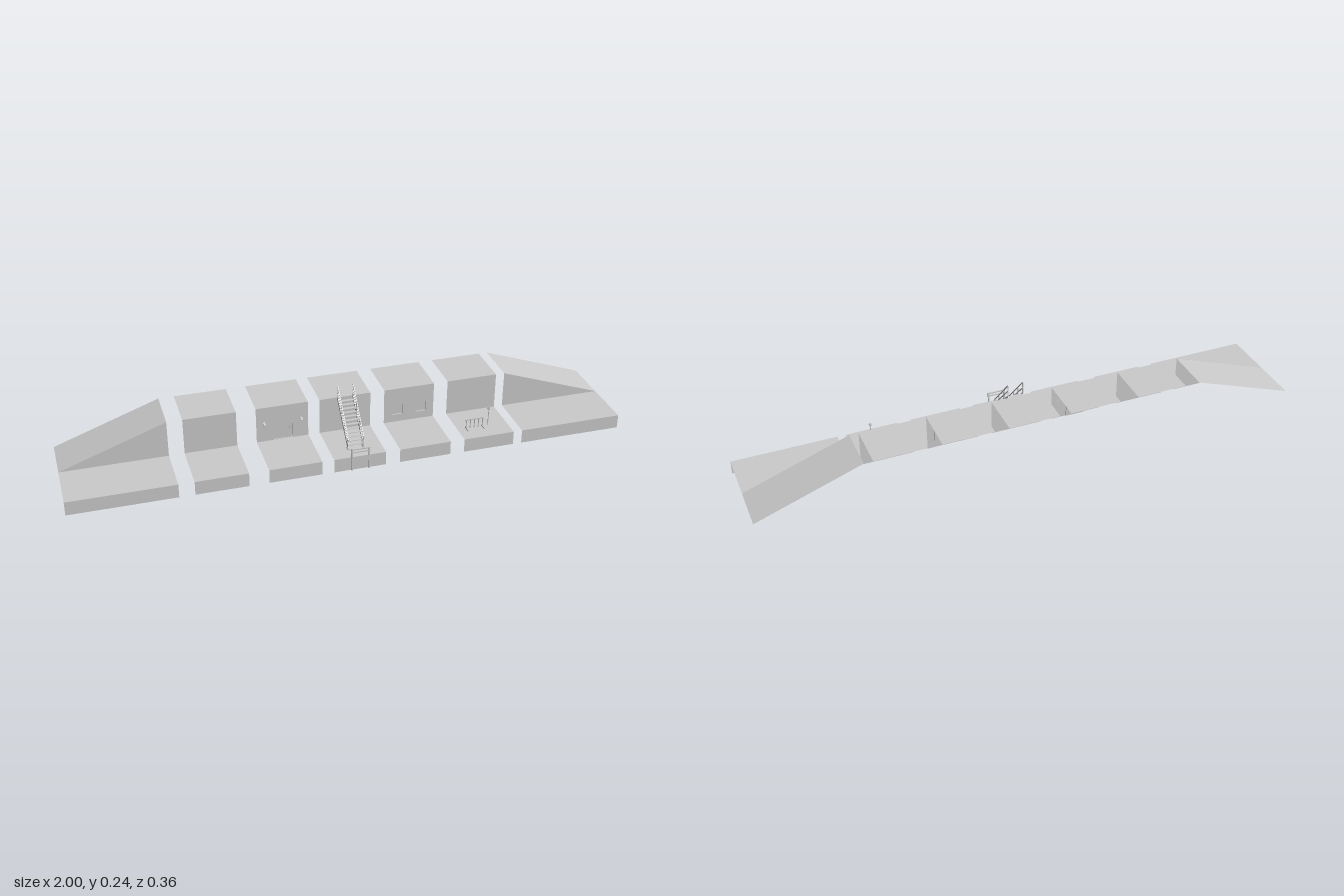
import * as THREE from 'three';

const FRONT = 0.176, WALL = -0.012, BACK = -0.182, LOW = 0.051, HIGH = 0.186;
const sheetMat = new THREE.MeshStandardMaterial({ color: 0xcccccc, side: THREE.DoubleSide });
const partMat = new THREE.MeshStandardMaterial({ color: 0xcccccc });

function add(parent, geo, name, mat = partMat) {
  const mesh = new THREE.Mesh(geo, mat);
  mesh.name = name;
  parent.add(mesh);
  return mesh;
}

// four corners, counter-clockwise from the visible side
function quad(parent, name, ...corners) {
  const geo = new THREE.BufferGeometry();
  geo.setAttribute('position', new THREE.Float32BufferAttribute(corners.flat(), 3));
  geo.setIndex([0, 1, 2, 0, 2, 3]);
  geo.computeVertexNormals();
  return add(parent, geo, name, sheetMat);
}

function box(parent, name, w, h, d, x, y, z) {
  const mesh = add(parent, new THREE.BoxGeometry(w, h, d), name);
  mesh.position.set(x, y, z);
  return mesh;
}

// square bar between two points
function bar(parent, name, a, b, w, h = w) {
  const from = new THREE.Vector3(...a), to = new THREE.Vector3(...b);
  const mesh = add(parent, new THREE.BoxGeometry(w, h, from.distanceTo(to)), name);
  mesh.position.copy(from).lerp(to, 0.5);
  mesh.lookAt(to);
  return mesh;
}

// arched outline: straight sides and a round or flattened head
function arch(Kind, cx, y0, w, h, rise) {
  const r = w / 2, s = new Kind();
  s.moveTo(cx - r, y0);
  s.lineTo(cx + r, y0);
  s.lineTo(cx + r, y0 + h - rise);
  s.absellipse(cx, y0 + h - rise, r, rise, 0, Math.PI, false, 0);
  s.lineTo(cx - r, y0);
  return s;
}

// platform profile: front edge, low deck, wall, upper deck; openings are recessed
function section(root, name, x0, x1, openings = []) {
  const g = new THREE.Group();
  g.name = name;
  root.add(g);
  quad(g, 'frontEdge', [x0, 0, FRONT], [x1, 0, FRONT], [x1, LOW, FRONT], [x0, LOW, FRONT]);
  quad(g, 'lowDeck', [x0, LOW, FRONT], [x1, LOW, FRONT], [x1, LOW, WALL], [x0, LOW, WALL]);
  quad(g, 'upperDeck', [x0, HIGH, WALL], [x1, HIGH, WALL], [x1, HIGH, BACK], [x0, HIGH, BACK]);
  const wall = new THREE.Shape([[x0, LOW], [x1, LOW], [x1, HIGH], [x0, HIGH]].map(p => new THREE.Vector2(...p)));
  for (const [cx, y, w, h, rise, depth] of openings) {
    wall.holes.push(arch(THREE.Path, cx, y, w, h, rise));
    const ring = arch(THREE.Shape, cx, y - 0.0005, w + 0.002, h + 0.0015, rise);
    ring.holes.push(arch(THREE.Path, cx, y, w, h, rise));
    add(g, new THREE.ExtrudeGeometry(ring, { depth, bevelEnabled: false, curveSegments: 8 }), 'reveal')
      .position.z = WALL - depth;
    add(g, new THREE.ShapeGeometry(arch(THREE.Shape, cx, y, w, h, rise), 8), 'panel', sheetMat)
      .position.z = WALL - depth;
  }
  add(g, new THREE.ShapeGeometry(wall, 8), 'wall', sheetMat).position.z = WALL;
  return g;
}

// end section whose upper deck slopes down to the low deck at the outer end
function ramp(root, name, x0, x1, leftHigh) {
  const g = new THREE.Group();
  g.name = name;
  root.add(g);
  const yl = leftHigh ? HIGH : LOW, yr = leftHigh ? LOW : HIGH;
  quad(g, 'frontEdge', [x0, 0, FRONT], [x1, 0, FRONT], [x1, LOW, FRONT], [x0, LOW, FRONT]);
  quad(g, 'lowDeck', [x0, LOW, FRONT], [x1, LOW, FRONT], [x1, LOW, WALL], [x0, LOW, WALL]);
  quad(g, 'slope', [x0, yl, WALL], [x1, yr, WALL], [x1, yr, BACK], [x0, yl, BACK]);
  const wall = new THREE.Shape();
  wall.moveTo(x0, LOW);
  wall.lineTo(x1, LOW);
  wall.lineTo(leftHigh ? x0 : x1, HIGH);
  add(g, new THREE.ShapeGeometry(wall), 'wall', sheetMat).position.z = WALL;
}

function stairs(root) {
  const g = new THREE.Group();
  g.name = 'stairs';
  root.add(g);
  const cx = 0.014, half = 0.028, zBase = 0.122, zTop = -0.006;
  const yAt = z => 0.057 + (zBase - z) / (zBase - zTop) * 0.127;
  for (const side of [-1, 1]) {
    const x = cx + side * half;
    bar(g, 'stringer', [x, yAt(zBase), zBase], [x, yAt(zTop), zTop], 0.003, 0.012);
    for (const lift of [0.027, 0.05])
      bar(g, 'rail', [x, yAt(0.126) + lift * 0.75, 0.126], [x, yAt(zTop) + lift, zTop], 0.003);
    for (const z of [0.122, 0.081, 0.038, -0.004]) {
      const h = z < 0 ? 0.053 : 0.04 + (0.12 - z) * 0.05;
      box(g, 'railPost', 0.003, h, 0.003, x, yAt(z) + h / 2 - 0.002, z);
    }
    box(g, 'foot', 0.006, 0.005, 0.02, x, LOW + 0.0025, 0.119);
  }
  const treads = 12;
  for (let i = 0; i < treads; i++) {
    const z = zBase - 0.006 - i * 0.0103;
    box(g, 'tread', half * 2, 0.002, 0.011, cx, yAt(z) + 0.002, z);
  }
}

export function createModel() {
  const root = new THREE.Group();
  root.name = 'platform';

  ramp(root, 'rightRamp', -1, -0.622, false);
  ramp(root, 'leftRamp', 0.62, 1, true);
  section(root, 'plainSection', -0.567, -0.38);
  const doorSection = section(root, 'doorSection', -0.31, -0.122, [[-0.214, LOW + 0.001, 0.068, 0.092, 0.015, 0.004]]);
  const stairSection = section(root, 'stairSection', -0.08, 0.108);
  section(root, 'windowSection', 0.16, 0.348, [0.212, 0.3].map(x => [x, 0.08, 0.04, 0.047, 0.014, 0.005]));
  const rackSection = section(root, 'rackSection', 0.4, 0.588);

  // wall lamps beside the door
  for (const x of [-0.282, -0.148]) {
    bar(doorSection, 'lampArm', [x, 0.127, WALL], [x, 0.122, 0.004], 0.008, 0.004);
    box(doorSection, 'lampPlate', 0.008, 0.01, 0.002, x, 0.126, WALL + 0.001);
  }
  box(doorSection, 'doorHandle', 0.003, 0.01, 0.002, -0.187, 0.09, WALL - 0.003);

  stairs(stairSection);

  // frame standing before the front edge, at the foot of the stairs
  for (const x of [-0.017, 0.045])
    box(stairSection, 'gatePost', 0.005, 0.086, 0.005, x, 0.043, 0.18);
  for (const y of [0.072, 0.083])
    box(stairSection, 'gateBar', 0.068, 0.004, 0.004, 0.014, y, 0.18);

  // low rack and sign pole
  for (let i = 0; i < 5; i++)
    box(rackSection, 'rackBar', 0.003, 0.035, 0.003, 0.433 + i * 0.0155, LOW + 0.0175, 0.106);
  box(rackSection, 'rackTop', 0.07, 0.004, 0.004, 0.464, LOW + 0.035, 0.106);
  for (const x of [0.433, 0.495])
    box(rackSection, 'rackFoot', 0.004, 0.004, 0.03, x, LOW + 0.002, 0.112);
  const pole = add(rackSection, new THREE.CylinderGeometry(0.0013, 0.0013, 0.076, 8), 'pole');
  pole.position.set(0.516, LOW + 0.038, 0.106);
  box(rackSection, 'poleSign', 0.009, 0.011, 0.002, 0.516, 0.12, 0.106);

  return root;
}
